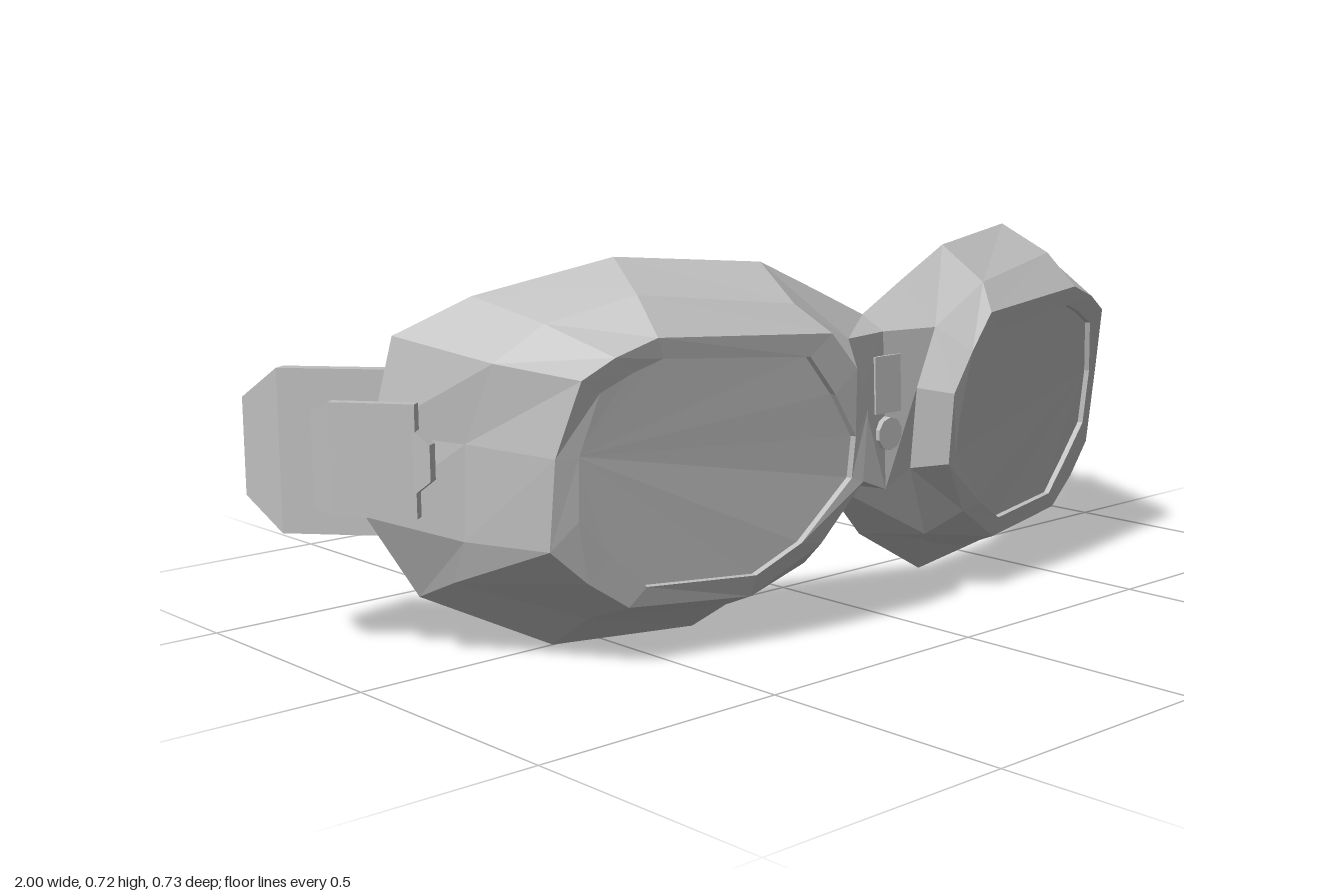
import * as THREE from 'three';

const grey = new THREE.MeshStandardMaterial({ color: 0xbfbfbf, side: THREE.DoubleSide });
grey.name = 'grey';

// Faceted geometry from a list of polygons, each fanned from its first corner
function faceted(polys) {
  const pos = [];
  for (const p of polys)
    for (let i = 1; i < p.length - 1; i++) pos.push(...p[0], ...p[i], ...p[i + 1]);
  const g = new THREE.BufferGeometry();
  g.setAttribute('position', new THREE.Float32BufferAttribute(pos, 3));
  g.computeVertexNormals();
  return g;
}

// Quads between successive rings; open leaves out the last-to-first gap
function loft(rings, open = false) {
  const polys = [];
  for (let r = 0; r < rings.length - 1; r++) {
    const a = rings[r], b = rings[r + 1], n = a.length;
    for (let i = 0; i < (open ? n - 1 : n); i++) {
      const j = (i + 1) % n;
      polys.push([a[i], a[j], b[j], b[i]]);
    }
  }
  return polys;
}

// Copy of a ring shrunk towards the cup's middle and moved back
const inset = (ring, s, dz) =>
  ring.map(([x, y, z]) => [.42 + (x - .42) * s, .36 + (y - .36) * s, z - dz]);

// Ring started at its lower temple corner, so that panes fan from there
const fromTemple = ring => [...ring.slice(7), ...ring.slice(0, 7)];

function part(name, geometry) {
  const m = new THREE.Mesh(geometry, grey);
  m.name = name;
  return m;
}

// Upright plate following stations of [x, z, yLow, yHigh], thickened outwards
function plate(stations, t) {
  const rings = stations.map(([x, z, y0, y1], i) => {
    const a = stations[Math.max(i - 1, 0)], b = stations[Math.min(i + 1, stations.length - 1)];
    const dx = b[0] - a[0], dz = b[1] - a[1], l = Math.hypot(dx, dz);
    const ox = -dz / l * t, oz = dx / l * t;
    return [[x, y0, z], [x, y1, z], [x + ox, y1, z + oz], [x + ox, y0, z + oz]];
  });
  return faceted([...loft(rings), [...rings[0]].reverse(), rings[rings.length - 1]]);
}

// Rings of one eye cup: nose, over the top, round the temple, back underneath
const lensEdge = [
  [.145, .38, .345], [.20, .465, .346], [.26, .54, .342], [.555, .56, .282], [.61, .54, .268], [.67, .51, .252],
  [.70, .40, .23], [.695, .285, .22], [.63, .215, .227], [.56, .15, .238], [.34, .14, .284], [.25, .19, .31],
  [.145, .30, .335]];
const rim = [
  [.12, .43, .352], [.16, .51, .362], [.22, .58, .357], [.57, .598, .287], [.65, .57, .27], [.71, .535, .253],
  [.74, .40, .216], [.74, .235, .196], [.67, .17, .21], [.59, .115, .224], [.34, .098, .269], [.20, .18, .31],
  [.12, .29, .34]];
const crease = [
  [.075, .44, .295], [.12, .555, .30], [.26, .632, .30], [.56, .665, .22], [.70, .62, .14], [.78, .555, .10],
  [.80, .41, .04], [.80, .235, .03], [.79, .15, -.02], [.61, .08, .13], [.33, .065, .19], [.17, .125, .235],
  [.075, .28, .28]];
const backEdge = [
  [0, .583, .22], [.12, .64, .21], [.25, .70, .20], [.53, .722, .12], [.75, .66, 0], [.85, .59, -.10],
  [.885, .42, -.12], [.90, .27, -.125], [.81, .113, -.10], [.61, .01, .027], [.32, 0, .083], [.13, .107, .09],
  [0, .24, .11]];
const lensFront = inset(lensEdge, .995, .012);
const innerCrease = inset(crease, .965, .02);
const innerRim = inset(rim, .965, .04);
const lensRear = inset(rim, .94, .034);

// Half of the nose bridge, closing a crease ring to the back edge
function bridge(ring, zUp, zLow) {
  const n = ring.length - 1, up = [0, .555, zUp], low = [0, .25, zLow];
  return faceted([
    [ring[1], backEdge[1], backEdge[0], up], [ring[0], ring[1], up],
    [ring[0], up, low, ring[n]], [ring[n], low, backEdge[n]]]);
}

function goggleHalf() {
  const half = new THREE.Group();
  half.add(part('lens', faceted([fromTemple(lensFront).reverse()])));
  half.add(part('lensBack', faceted([fromTemple(lensRear)])));
  half.add(part('lensRim', faceted(loft([lensFront, lensEdge, rim, crease]))));
  half.add(part('cupShell', faceted(loft([crease, backEdge], true))));
  half.add(part('cupInside', faceted([
    ...loft([backEdge, innerCrease], true), ...loft([innerCrease, innerRim, lensRear])])));
  half.add(part('noseBridge', bridge(crease, .275, .285)));
  half.add(part('noseBridgeInside', bridge(innerCrease, .25, .26)));

  // Strap clip, its hinge tab and the strap end
  half.add(part('strapClip', plate(
    [[.845, -.032, .277, .48], [.94, -.157, .277, .48], [.957, -.182, .295, .462]], .022)));
  half.add(part('clipTab', plate([[.83, -.007, .345, .41], [.847, -.034, .32, .435]], .022)));
  half.add(part('strapEnd', plate(
    [[.825, -.135, .228, .528], [.955, -.29, .228, .528], [.972, -.368, .288, .468]], .028)));
  return half;
}

export function createModel() {
  const model = new THREE.Group();
  model.name = 'goggles';
  const left = goggleHalf(), right = goggleHalf();
  left.name = 'leftHalf';
  right.name = 'rightHalf';
  right.scale.x = -1;
  model.add(left, right);

  // Bridge rivet and the small plate above it
  const rivet = part('bridgeRivet', new THREE.CylinderGeometry(.032, .032, .02, 10).toNonIndexed());
  rivet.geometry.computeVertexNormals();
  rivet.rotation.x = Math.PI / 2;
  rivet.position.set(0, .36, .287);
  const clasp = part('bridgePlate', new THREE.BoxGeometry(.07, .11, .008));
  clasp.position.set(0, .455, .286);
  clasp.rotation.x = -.03;
  model.add(rivet, clasp);
  return model;
}
